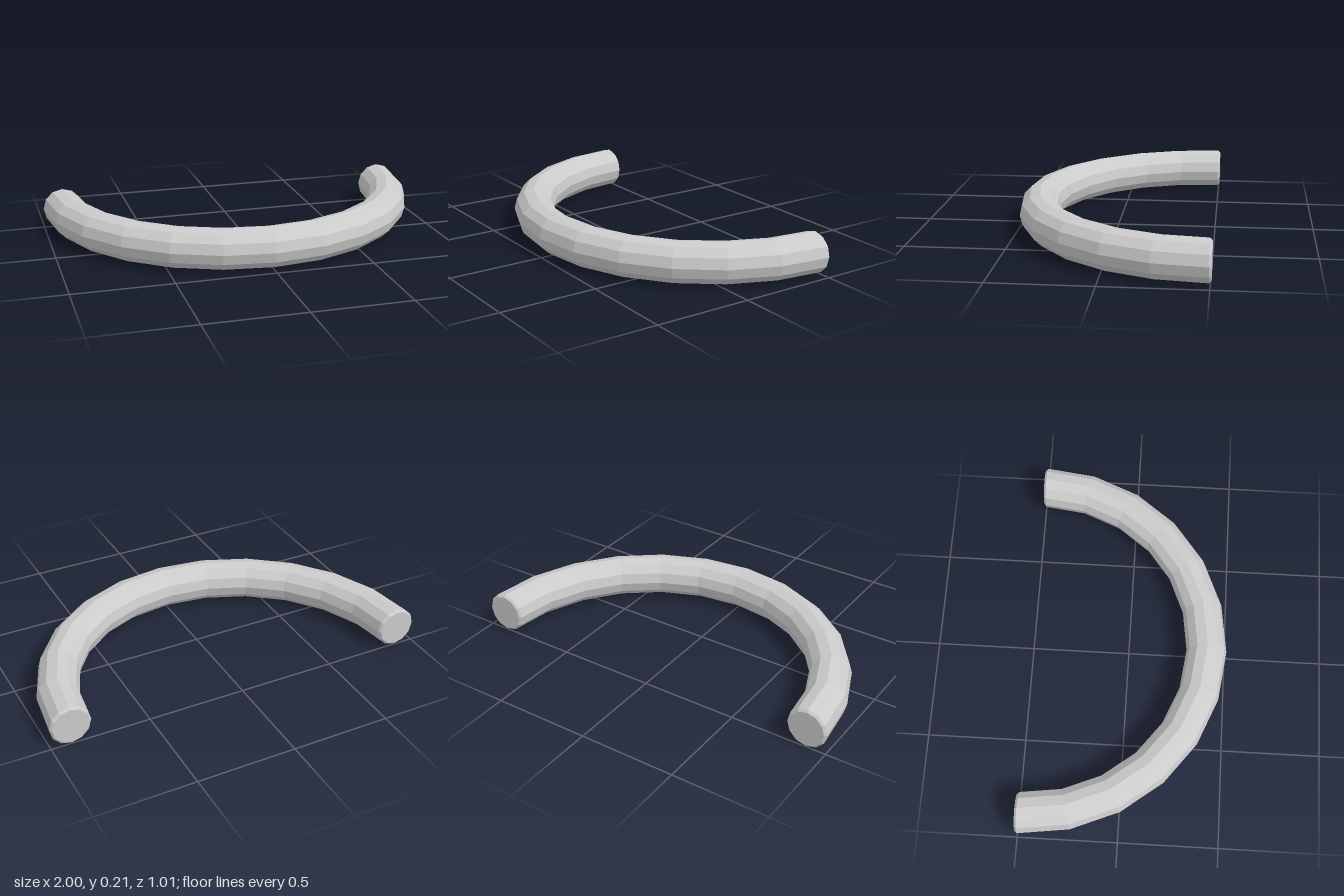
import * as THREE from 'three';

const TUBE = 0.1033;      // tube radius
const BEND = 1 - TUBE;    // radius of the bend's centre line
const BEVEL = 0.011;      // chamfer at the open ends
const ORIGIN_Z = -0.4945; // centre of the bend

export function createModel() {
  const group = new THREE.Group();
  group.name = 'curvedHandle';
  const material = new THREE.MeshStandardMaterial({ color: 0xcccccc, flatShading: true });

  // Half-ring bar, bulging to the front
  const bar = new THREE.Mesh(
    new THREE.TorusGeometry(BEND, TUBE, 12, 12, Math.PI).rotateX(Math.PI / 2),
    material
  );
  bar.name = 'bentBar';
  bar.position.set(0, TUBE, ORIGIN_Z);
  group.add(bar);

  // Chamfered end caps, facing the back
  const profile = [
    new THREE.Vector2(TUBE, 0),
    new THREE.Vector2(TUBE - BEVEL, BEVEL),
    new THREE.Vector2(0, BEVEL),
  ];
  const capGeometry = new THREE.LatheGeometry(profile, 12).rotateX(-Math.PI / 2);
  for (const side of [1, -1]) {
    const cap = new THREE.Mesh(capGeometry, material);
    cap.name = side > 0 ? 'leftEndCap' : 'rightEndCap';
    cap.position.set(side * BEND, TUBE, ORIGIN_Z);
    group.add(cap);
  }
  return group;
}
